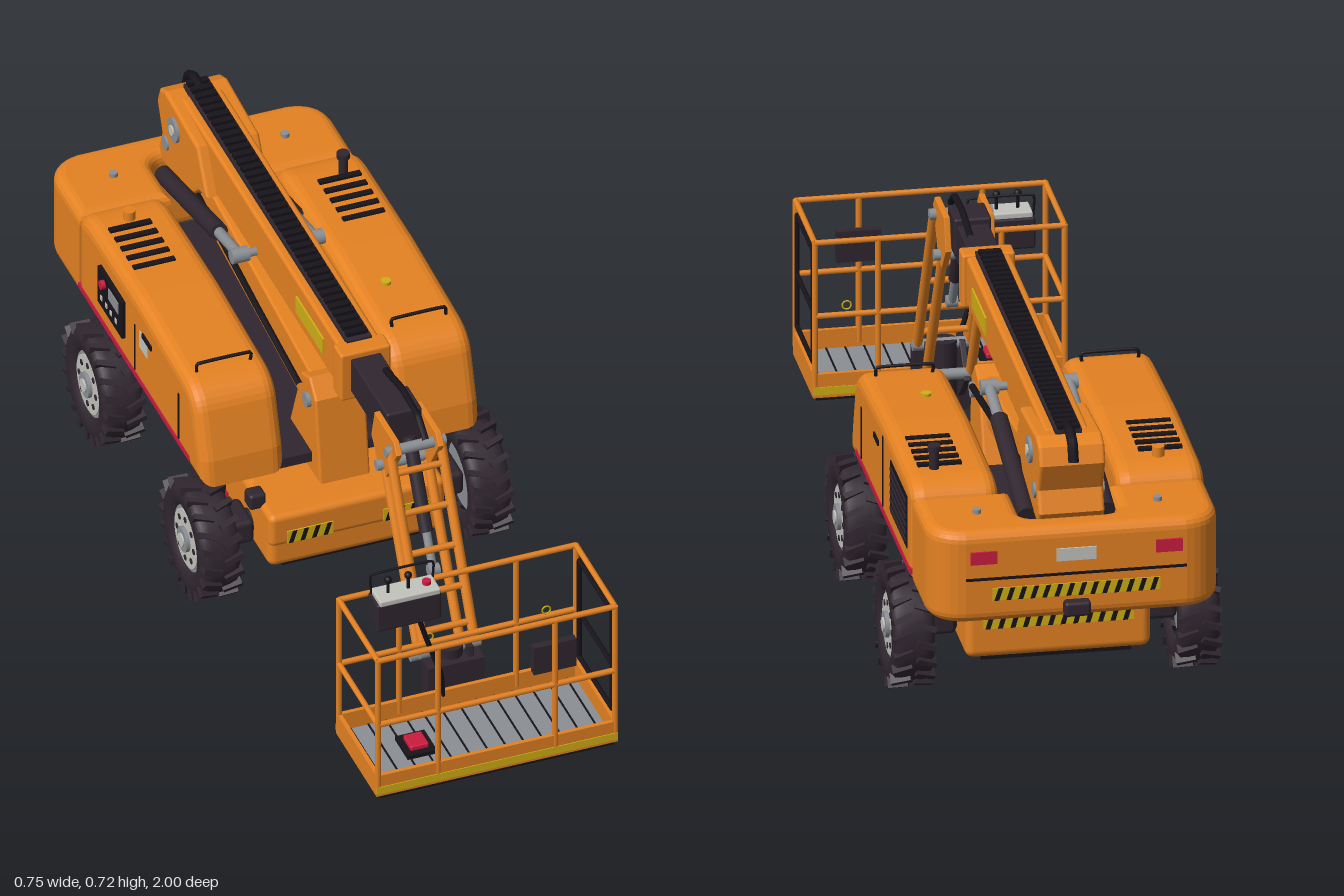
import * as THREE from 'three';
import { mergeGeometries } from 'three/addons/utils/BufferGeometryUtils.js';
import { RoundedBoxGeometry } from 'three/addons/geometries/RoundedBoxGeometry.js';

export function createModel() {
  const root = new THREE.Group();
  root.name = 'boomLift';
  const mat = (name, color) => Object.assign(new THREE.MeshStandardMaterial({ color }), { name });
  const orange = mat('orange paint', 0xe58222), dark = mat('dark parts', 0x30262f), black = mat('black', 0x17131a);
  const grey = mat('steel grey', 0x8b8f94), pale = mat('pale grey', 0xc4c4be), yellow = mat('yellow', 0xd2b014), red = mat('red', 0xcc1c40);

  // Helpers
  const add = (name, geo, m, x = 0, y = 0, z = 0, parent = root) => {
    const o = new THREE.Mesh(geo, m);
    o.name = name;
    o.position.set(x, y, z);
    parent.add(o);
    return o;
  };
  // Box given by its limits
  const box = (name, m, x0, x1, y0, y1, z0, z1, r = 0) => add(name,
    r ? new RoundedBoxGeometry(x1 - x0, y1 - y0, z1 - z0, 3, r) : new THREE.BoxGeometry(x1 - x0, y1 - y0, z1 - z0),
    m, (x0 + x1) / 2, (y0 + y1) / 2, (z0 + z1) / 2);
  const rod = (name, m, a, b, r, sides = 12) => {
    const p = new THREE.Vector3(...a), q = new THREE.Vector3(...b), d = q.clone().sub(p);
    const o = add(name, new THREE.CylinderGeometry(r, r, d.length(), sides), m);
    o.position.copy(p).add(q).multiplyScalar(0.5);
    o.quaternion.setFromUnitVectors(new THREE.Vector3(0, 1, 0), d.normalize());
    return o;
  };
  const tube = (name, m, pts, r) => add(name, new THREE.TubeGeometry(
    new THREE.CatmullRomCurve3(pts.map(p => new THREE.Vector3(...p)), false, 'catmullrom', 0.15), 30, r, 8), m);
  // Side profile (z, y) extruded across x
  const profile = (name, m, shape, width, x, bevel) => {
    const g = new THREE.ExtrudeGeometry(shape, { depth: width - 2 * bevel, bevelEnabled: true, bevelThickness: bevel,
      bevelSize: bevel, bevelOffset: -bevel, bevelSegments: 4, curveSegments: 8 });
    g.translate(0, 0, -(width - 2 * bevel) / 2).rotateY(-Math.PI / 2);
    return add(name, g, m, x);
  };
  const poly = pts => new THREE.Shape(pts.map(p => new THREE.Vector2(...p)));
  // Yellow strip with dark slanted bars
  const hazard = (w, h, n, x, y, z, back, lean = 1) => {
    const g = new THREE.Group();
    g.name = 'hazardStrip';
    add('hazardPlate', new THREE.BoxGeometry(w, h, 0.004), yellow, 0, 0, 0, g);
    const p = w / n;
    for (let i = 0; i < n; i++) {
      const a = -w / 2 + p * (i + 0.12), k = p * 0.4, t = lean > 0 ? [0, p * 0.36] : [p * 0.36, 0];
      add('hazardBar', new THREE.ShapeGeometry(poly([[a + t[0], -h / 2], [a + t[0] + k, -h / 2], [a + t[1] + k, h / 2], [a + t[1], h / 2]])), black, 0, 0, 0.003, g);
    }
    g.position.set(x, y, z);
    if (back) g.rotation.y = Math.PI;
    root.add(g);
  };

  // Wheels
  const tireGeo = new THREE.LatheGeometry([[0.078, -0.035], [0.09, -0.046], [0.118, -0.047], [0.131, -0.038], [0.134, -0.02],
    [0.134, 0.02], [0.131, 0.038], [0.118, 0.047], [0.09, 0.046], [0.078, 0.035]].map(p => new THREE.Vector2(...p)), 40).rotateZ(Math.PI / 2);
  const lugs = [];
  for (let i = 0; i < 40; i++) {
    const g = new THREE.BoxGeometry(0.046, 0.026, 0.013);
    g.rotateY(i % 2 ? 0.35 : -0.35).translate(i % 2 ? 0.026 : -0.026, 0.13, 0).rotateX(i * Math.PI / 20);
    lugs.push(g);
  }
  const lugGeo = mergeGeometries(lugs);
  for (const z of [0, -0.61]) {
    rod('axle', dark, [-0.28, 0.155, z], [0.28, 0.155, z], 0.03);
    for (const s of [-1, 1]) {
      const w = new THREE.Group();
      w.name = 'wheel';
      w.position.set(s * 0.323, 0.145, z);
      root.add(w);
      add('tire', tireGeo, dark, 0, 0, 0, w);
      add('treadLugs', lugGeo, dark, 0, 0, 0, w);
      const disc = (n, m, r, len, x) => add(n, new THREE.CylinderGeometry(r, r, len, 28).rotateZ(Math.PI / 2), m, s * x, 0, 0, w);
      disc('rim', grey, 0.08, 0.06, 0.004);
      disc('rimFace', pale, 0.07, 0.01, 0.034);
      disc('hub', grey, 0.03, 0.02, 0.038);
      disc('hubCap', pale, 0.016, 0.02, 0.042);
      for (let i = 0; i < 8; i++) {
        const a = i * Math.PI / 4, bolt = disc('rimHole', dark, 0.007, 0.004, 0.039);
        bolt.position.y = Math.cos(a) * 0.052;
        bolt.position.z = Math.sin(a) * 0.052;
      }
      box('axleKnuckle', dark, s * 0.25 - 0.035, s * 0.25 + 0.035, 0.13, 0.19, z - 0.05, z + 0.05, 0.012);
    }
  }

  // Chassis
  box('chassis', orange, -0.21, 0.21, 0.105, 0.25, -0.75, 0.125, 0.02);
  box('chassisNose', orange, -0.21, 0.21, 0.165, 0.25, -0.02, 0.13, 0.015);
  box('bellyPlate', black, -0.17, 0.17, 0.09, 0.11, -0.72, 0.1);
  add('slewRing', new THREE.CylinderGeometry(0.19, 0.19, 0.045, 40), grey, 0, 0.265, -0.33);
  for (const s of [-1, 1]) {
    hazard(0.11, 0.032, 4, s * 0.115, 0.19, 0.131, false, 1);
    box('cornerLamp', dark, s * 0.215 - 0.02, s * 0.215 + 0.02, 0.235, 0.275, 0.03, 0.07, 0.008);
    const side = (n, m, z0, z1, y0, y1) => box(n, m, s * 0.21 - 0.004, s * 0.21 + 0.004, y0, y1, z0, z1);
    side('chassisStripe', red, -0.48, -0.13, 0.128, 0.14);
    side('yellowLabel', yellow, -0.44, -0.375, 0.185, 0.22);
    side('paleLabel', pale, -0.24, -0.19, 0.18, 0.22);
    side('darkLabel', black, -0.36, -0.255, 0.152, 0.19);
    side('smallYellowLabel', yellow, -0.165, -0.135, 0.185, 0.22);
  }
  hazard(0.34, 0.035, 12, 0, 0.195, -0.751, true);

  // Turntable and counterweight
  box('turntableDeck', dark, -0.3, 0.3, 0.28, 0.305, -0.89, 0);
  const cw = new THREE.Shape();
  cw.moveTo(-0.33, 0.745).lineTo(-0.11, 0.745).lineTo(-0.11, 0.87).quadraticCurveTo(-0.1, 0.9, -0.07, 0.9).lineTo(0.07, 0.9)
    .quadraticCurveTo(0.1, 0.9, 0.11, 0.87).lineTo(0.11, 0.745).lineTo(0.33, 0.745).lineTo(0.33, 0.89)
    .quadraticCurveTo(0.325, 0.965, 0.25, 0.975).lineTo(-0.25, 0.975).quadraticCurveTo(-0.325, 0.965, -0.33, 0.89);
  add('counterweight', new THREE.ExtrudeGeometry(cw, { depth: 0.17, bevelThickness: 0.025, bevelSize: 0.025, bevelOffset: -0.025,
    bevelSegments: 4, curveSegments: 8 }).rotateX(-Math.PI / 2), orange, 0, 0.315, 0);
  hazard(0.38, 0.03, 14, 0, 0.36, -0.976, true);
  box('rearGroove', black, -0.25, 0.25, 0.395, 0.401, -0.978, -0.972);
  box('rearPlate', pale, -0.045, 0.045, 0.43, 0.46, -0.979, -0.973);
  box('towHitch', dark, -0.03, 0.03, 0.3, 0.335, -1.0, -0.96, 0.008);
  for (const s of [-1, 1]) {
    box('tailLight', red, s * 0.21 - 0.03, s * 0.21 + 0.03, 0.435, 0.465, -0.98, -0.972);
    add('liftingEye', new THREE.CylinderGeometry(0.01, 0.01, 0.012, 12), grey, s * 0.205, 0.514, -0.86);
  }

  // Engine hoods on both sides
  for (const s of [-1, 1]) {
    const hood = new THREE.Shape();
    hood.moveTo(-0.75, 0.295).lineTo(0.03, 0.295).lineTo(0.022, 0.36).lineTo(-0.01, 0.46).quadraticCurveTo(-0.025, 0.52, -0.1, 0.525)
      .lineTo(-0.39, 0.54).lineTo(-0.68, 0.535).quadraticCurveTo(-0.74, 0.53, -0.75, 0.5);
    profile('hood', orange, hood, 0.2, s * 0.233, 0.03);
    const side = (n, m, z0, z1, y0, y1, t = 0.003) => box(n, m, s * 0.332 - t, s * 0.332 + t, y0, y1, z0, z1);
    side('sideStripe', red, -0.74, -0.05, 0.318, 0.332);
    for (const z of [-0.39, -0.118]) side('doorSeam', black, z - 0.003, z + 0.003, 0.335, s > 0 && z < -0.2 ? 0.505 : 0.46);
    side('doorHandle', black, -0.34, -0.285, 0.46, 0.472, 0.005);
    for (let i = 0; i < 5; i++) box('roofLouvre', black, s * 0.25 - 0.05, s * 0.25 + 0.05, 0.534, 0.542, -0.645 + i * 0.037, -0.63 + i * 0.037);
    tube('hoodRail', black, [[s * 0.17, 0.52, -0.1], [s * 0.17, 0.545, -0.1], [s * 0.295, 0.545, -0.1], [s * 0.295, 0.5, -0.1]], 0.004);
    if (s > 0) {
      side('radiatorGrille', black, -0.7, -0.49, 0.365, 0.49);
      for (let i = 0; i < 6; i++) side('grilleSlat', dark, -0.69, -0.5, 0.375 + i * 0.019, 0.383 + i * 0.019, 0.006);
    } else {
      side('controlPanel', black, -0.6, -0.45, 0.38, 0.48, 0.01);
      side('panelDisplay', grey, -0.53, -0.47, 0.435, 0.465, 0.012);
      rod('stopButton', red, [-0.335, 0.455, -0.56], [-0.352, 0.455, -0.56], 0.011);
      for (let i = 0; i < 4; i++) side('panelSwitch', pale, -0.58 + i * 0.03, -0.57 + i * 0.03, 0.4, 0.412, 0.012);
      side('paleLabel', pale, -0.36, -0.31, 0.42, 0.465);
    }
  }
  rod('exhaustPipe', dark, [0.265, 0.52, -0.655], [0.265, 0.58, -0.655], 0.011);
  rod('exhaustCap', dark, [0.265, 0.578, -0.655], [0.265, 0.592, -0.655], 0.015);
  rod('fuelCap', orange, [-0.24, 0.52, -0.67], [-0.24, 0.558, -0.67], 0.014);
  rod('fillerCap', yellow, [0.21, 0.525, -0.245], [0.21, 0.54, -0.245], 0.012);

  // Lower boom and its front support
  profile('lowerBoom', orange, poly([[-0.02, 0.37], [0.01, 0.43], [-0.01, 0.48], [-0.75, 0.56], [-0.8, 0.5], [-0.75, 0.45]]), 0.09, 0, 0.006);
  profile('boomSupport', orange, poly([[0.05, 0.25], [0.02, 0.46], [-0.02, 0.5], [-0.07, 0.48], [-0.16, 0.25]]), 0.12, 0, 0.006);
  rod('supportPin', grey, [-0.07, 0.44, -0.02], [0.07, 0.44, -0.02], 0.018);

  // Main boom with rear knuckle
  box('mainBoom', orange, -0.05, 0.05, 0.58, 0.695, -0.85, 0.15, 0.008);
  box('boomCollar', orange, -0.06, 0.06, 0.572, 0.7, 0.13, 0.18, 0.006);
  profile('boomKnuckle', orange, poly([[-0.62, 0.58], [-0.67, 0.565], [-0.74, 0.5], [-0.9, 0.49], [-0.92, 0.52], [-0.9, 0.57],
    [-0.93, 0.64], [-0.915, 0.68], [-0.88, 0.695], [-0.68, 0.68]]), 0.15, 0, 0.008);
  rod('knucklePin', grey, [-0.082, 0.635, -0.815], [0.082, 0.635, -0.815], 0.03, 20);
  rod('knucklePinCap', pale, [-0.086, 0.635, -0.815], [0.086, 0.635, -0.815], 0.013);
  rod('lowerKnucklePin', grey, [-0.08, 0.56, -0.87], [0.08, 0.56, -0.87], 0.018);
  for (const s of [-1, 1]) {
    box('boomLabel', yellow, s * 0.051 - 0.003, s * 0.051 + 0.003, 0.612, 0.655, -0.12, 0.05);
    rod('liftCylinder', dark, [s * 0.09, 0.49, -0.85], [s * 0.09, 0.575, -0.5], 0.021);
    rod('liftRod', grey, [s * 0.09, 0.57, -0.52], [s * 0.09, 0.602, -0.37], 0.013);
    rod('liftRodEye', grey, [s * 0.07, 0.6, -0.375], [s * 0.11, 0.6, -0.375], 0.018);
    tube('hydraulicHose', black, [[s * 0.07, 0.46, -0.05], [s * 0.075, 0.5, -0.3], [s * 0.065, 0.53, -0.7]], 0.008);
  }
  rod('liftCrossPin', grey, [-0.1, 0.6, -0.375], [0.1, 0.6, -0.375], 0.01);

  // Cable track on the boom
  box('cableTray', dark, -0.03, 0.03, 0.69, 0.705, -0.88, 0.14);
  const ribs = [];
  for (let z = -0.87; z < 0.14; z += 0.026) ribs.push(new THREE.BoxGeometry(0.05, 0.014, 0.016).translate(0, 0.708, z));
  add('cableTrack', mergeGeometries(ribs), black);
  tube('cableLoop', black, [[0, 0.705, -0.85], [0, 0.708, -0.89], [0, 0.69, -0.925], [0, 0.65, -0.94]], 0.012);

  // Telescopic section and jib head
  box('telescopicSection', dark, -0.036, 0.036, 0.595, 0.685, 0.15, 0.4, 0.004);
  box('telescopeTip', dark, -0.042, 0.042, 0.61, 0.7, 0.33, 0.42, 0.006);
  rod('jibHeadCylinder', dark, [0, 0.58, 0.2], [0, 0.565, 0.34], 0.016);
  rod('jibHeadRod', grey, [0, 0.567, 0.32], [0, 0.575, 0.44], 0.009);
  tube('frontCableLoop', black, [[0.02, 0.69, 0.25], [0.02, 0.71, 0.35], [0.02, 0.705, 0.45], [0.02, 0.67, 0.5]], 0.008);
  for (const s of [-1, 1]) {
    profile('jibHeadPlate', orange, poly([[0.36, 0.61], [0.38, 0.685], [0.5, 0.685], [0.52, 0.66], [0.45, 0.55], [0.41, 0.55]]), 0.014, s * 0.05, 0.002);
    // Parallel jib links
    rod('upperJibLink', orange, [s * 0.06, 0.655, 0.485], [s * 0.06, 0.24, 0.7], 0.012, 8);
    rod('lowerJibLink', orange, [s * 0.05, 0.575, 0.43], [s * 0.05, 0.19, 0.64], 0.012, 8);
    profile('mountPlate', dark, poly([[0.62, 0.18], [0.69, 0.25], [0.73, 0.25], [0.745, 0.11], [0.7, 0.11]]), 0.014, s * 0.04, 0.002);
  }
  for (const t of [0.12, 0.32, 0.52, 0.72, 0.9]) {
    const y = 0.655 - 0.415 * t, z = 0.485 + 0.215 * t;
    rod('jibCrossBar', orange, [-0.06, y, z], [0.06, y, z], 0.008, 8);
  }
  for (const [y, z] of [[0.65, 0.485], [0.575, 0.43], [0.24, 0.7], [0.19, 0.64]]) rod('jibPin', grey, [-0.072, y, z], [0.072, y, z], 0.013);
  rod('jibCylinder', dark, [0, 0.65, 0.45], [0, 0.46, 0.555], 0.016);
  rod('jibCylinderRod', grey, [0, 0.47, 0.55], [0, 0.38, 0.6], 0.01);
  rod('jibRodEye', grey, [-0.013, 0.385, 0.6], [0.013, 0.385, 0.6], 0.014);

  // Basket mount and forks
  box('basketMount', dark, -0.067, 0.067, 0.1, 0.225, 0.7, 0.745);
  rod('basketRotator', dark, [0, 0.1, 0.7], [0, 0.25, 0.7], 0.03, 16);
  box('mountBase', dark, -0.095, 0.095, 0.075, 0.1, 0.7, 0.77);
  for (const s of [-1, 1]) box('basketFork', dark, s * 0.075 - 0.012, s * 0.075 + 0.012, 0.08, 0.105, 0.72, 0.96);

  // Basket floor, toe boards and rails
  box('basketUnderside', black, -0.28, 0.28, 0.1, 0.114, 0.75, 0.995);
  box('basketFloor', grey, -0.28, 0.28, 0.114, 0.12, 0.75, 0.995);
  for (let i = -6; i <= 6; i++) box('floorSeam', black, i * 0.043 - 0.002, i * 0.043 + 0.002, 0.118, 0.122, 0.755, 0.99);
  for (const z of [0.75, 0.993]) {
    box('toeBoard', orange, -0.288, 0.288, 0.108, 0.165, z - 0.005, z + 0.005);
    box('toeStripe', yellow, -0.288, 0.288, 0.115, 0.134, z + (z > 0.9 ? 0.004 : -0.007), z + (z > 0.9 ? 0.007 : -0.004));
    for (const y of [0.305, 0.483]) rod('rail', orange, [-0.283, y, z], [0.283, y, z], 0.007, 8);
    for (const x of [-0.283, -0.14, 0.14, 0.283]) rod('railPost', orange, [x, 0.13, z], [x, 0.485, z], 0.007, 8);
  }
  for (const s of [-1, 1]) {
    const x = s * 0.283;
    box('sideToeBoard', orange, x - 0.005, x + 0.005, 0.108, 0.165, 0.75, 0.993);
    rod('sideTopRail', orange, [x, 0.483, 0.75], [x, 0.483, 0.993], 0.007, 8);
    if (s < 0) rod('sideMidRail', orange, [x, 0.305, 0.75], [x, 0.305, 0.993], 0.007, 8);
    else {
      for (const y of [0.185, 0.31, 0.455]) rod('gateBar', black, [x, y, 0.77], [x, y, 0.975], 0.006, 8);
      for (const z of [0.77, 0.975]) rod('gatePost', black, [x, 0.185, z], [x, 0.455, z], 0.006, 8);
    }
  }
  for (const x of [-0.07, 0.21]) add('lanyardRing', new THREE.TorusGeometry(0.01, 0.002, 6, 16), yellow, x, 0.325, 0.755);
  box('manualBox', dark, 0.093, 0.195, 0.335, 0.41, 0.966, 0.984);

  // Control console, cable and foot pedal
  box('console', dark, -0.22, -0.066, 0.425, 0.5, 0.765, 0.825, 0.006);
  box('consoleTop', pale, -0.215, -0.07, 0.497, 0.513, 0.77, 0.83, 0.004);
  for (const x of [-0.185, -0.137]) {
    rod('joystick', black, [x, 0.51, 0.8], [x, 0.545, 0.8], 0.004, 8);
    add('joystickKnob', new THREE.SphereGeometry(0.009, 12, 8), black, x, 0.548, 0.8);
  }
  rod('consoleStop', red, [-0.093, 0.51, 0.8], [-0.093, 0.522, 0.8], 0.01);
  tube('consoleGuard', black, [[-0.215, 0.5, 0.775], [-0.215, 0.552, 0.775], [-0.07, 0.552, 0.775], [-0.07, 0.5, 0.775]], 0.003);
  tube('consoleCable', black, [[-0.11, 0.43, 0.77], [-0.08, 0.33, 0.765], [-0.045, 0.22, 0.765], [-0.035, 0.15, 0.75]], 0.006);
  box('pedalBase', black, -0.18, -0.11, 0.12, 0.13, 0.83, 0.91);
  box('footPedal', red, -0.167, -0.123, 0.128, 0.142, 0.845, 0.895, 0.004);
  return root;
}
